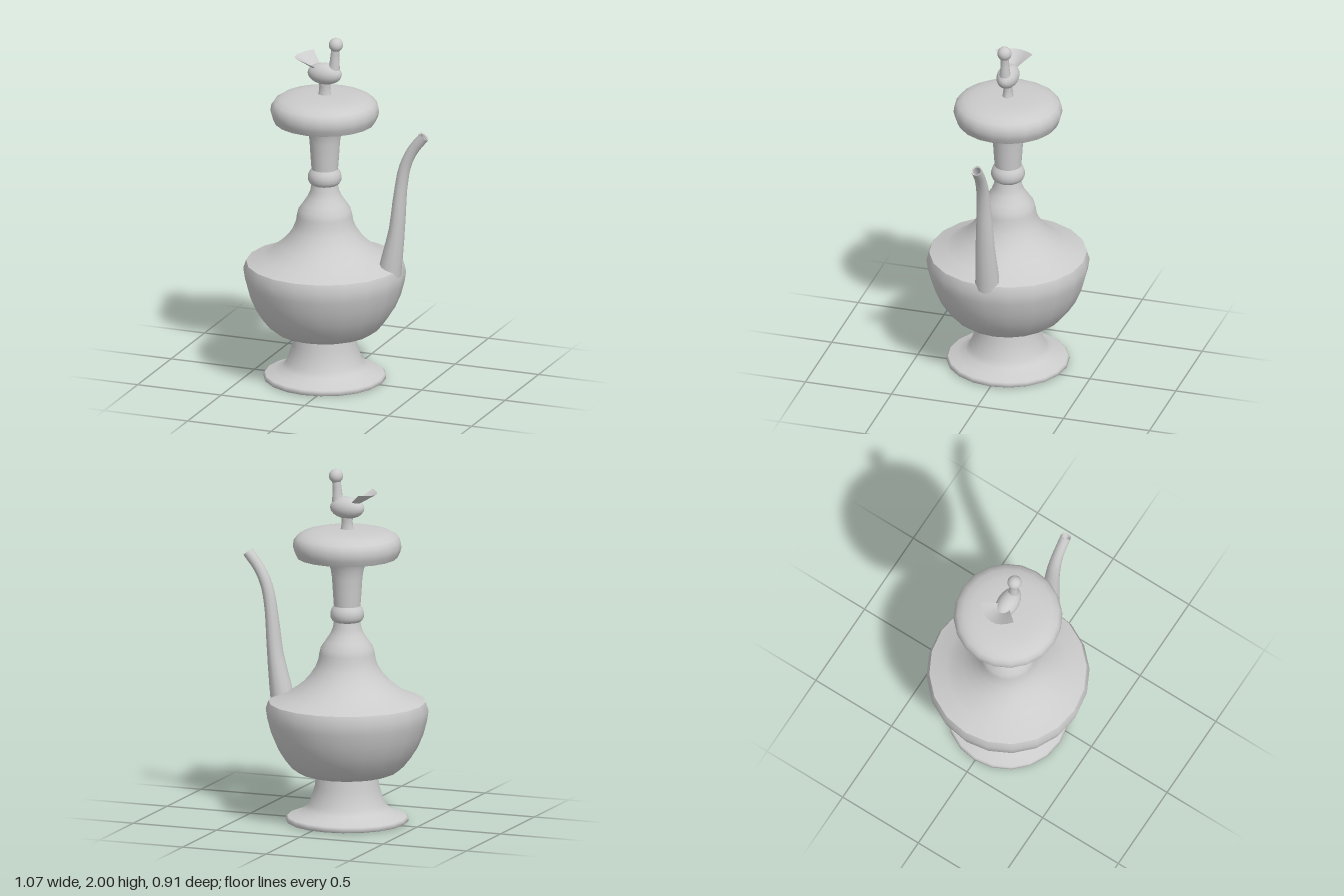
import * as THREE from 'three';

const AXIS = -0.08; // the vessel's axis sits off centre because of the spout
const SIDES = 20;
const material = new THREE.MeshStandardMaterial({ color: 0xcccccc, side: THREE.DoubleSide });

function addMesh(parent, name, geometry) {
  const mesh = new THREE.Mesh(geometry, material);
  mesh.name = name;
  parent.add(mesh);
  return mesh;
}

// Turned part; profile of [radius, y], with outside faces on the rising side
function turned(parent, name, profile) {
  const points = profile.map(([r, y]) => new THREE.Vector2(r, y));
  const mesh = addMesh(parent, name, new THREE.LatheGeometry(points, SIDES));
  mesh.position.x = AXIS;
  return mesh;
}

// Skin over rows of points, all rows the same length
function skin(rows, closed) {
  const n = rows[0].length;
  const index = [];
  for (let i = 0; i < rows.length - 1; i++) {
    for (let j = 0; j < (closed ? n : n - 1); j++) {
      const k = (j + 1) % n;
      const a = i * n + j, b = a + n, c = (i + 1) * n + k, d = i * n + k;
      index.push(a, b, c, a, c, d);
    }
  }
  const geometry = new THREE.BufferGeometry();
  geometry.setAttribute('position', new THREE.Float32BufferAttribute(rows.flat(2), 3));
  geometry.setIndex(index);
  geometry.computeVertexNormals();
  return geometry;
}

// Tapered tube in the xy plane; stations of [x, y, in-plane radius, z radius]
function taperedTube(stations, steps, sides) {
  const path = new THREE.CatmullRomCurve3(stations.map(([x, y]) => new THREE.Vector3(x, y, 0)));
  const rings = [];
  for (let i = 0; i <= steps; i++) {
    const t = i / steps;
    const s = t * (stations.length - 1);
    const k = Math.min(Math.floor(s), stations.length - 2);
    const mix = (c) => THREE.MathUtils.lerp(stations[k][c], stations[k + 1][c], s - k);
    const p = path.getPoint(t), d = path.getTangent(t);
    rings.push(Array.from({ length: sides }, (_, j) => {
      const a = (j / sides) * Math.PI * 2;
      const u = Math.cos(a) * mix(2);
      return [p.x + d.y * u, p.y - d.x * u, Math.sin(a) * mix(3)];
    }));
  }
  return skin(rings, true);
}

export function createModel() {
  const ewer = new THREE.Group();
  ewer.name = 'ewer';

  // Foot
  turned(ewer, 'footUnderside', [[0, 0.005], [0.33, 0.005]]);
  turned(ewer, 'footRim', [[0.33, 0.005], [0.341, 0.012], [0.341, 0.03], [0.333, 0.037]]);
  turned(ewer, 'foot', [[0.333, 0.037], [0.28, 0.055], [0.238, 0.078], [0.213, 0.108],
    [0.195, 0.16], [0.18, 0.21], [0.17, 0.285]]);

  // Body: bowl, shoulder and neck
  turned(ewer, 'bowlUnderside', [[0.15, 0.278], [0.24, 0.278]]);
  turned(ewer, 'bowl', [[0.24, 0.278], [0.275, 0.29], [0.315, 0.32], [0.355, 0.37], [0.393, 0.43],
    [0.425, 0.505], [0.445, 0.58], [0.454, 0.64], [0.438, 0.687]]);
  turned(ewer, 'shoulder', [[0.438, 0.687], [0.345, 0.722], [0.295, 0.755], [0.25, 0.79],
    [0.21, 0.832], [0.178, 0.88], [0.16, 0.925], [0.155, 0.96], [0.146, 0.995],
    [0.122, 1.03], [0.095, 1.07], [0.08, 1.105], [0.072, 1.15]]);
  turned(ewer, 'neckRing', [[0.07, 1.138], [0.083, 1.147], [0.093, 1.165], [0.094, 1.19],
    [0.087, 1.212], [0.074, 1.23]]);
  turned(ewer, 'neck', [[0.074, 1.225], [0.08, 1.31], [0.085, 1.39], [0.092, 1.435],
    [0.105, 1.475], [0.125, 1.508], [0.165, 1.545], [0.215, 1.575], [0.265, 1.595]]);

  // Lid: hollow underneath, with a flat rim
  turned(ewer, 'lidInside', [[0.262, 1.61], [0.262, 1.505]]);
  turned(ewer, 'lidRim', [[0.262, 1.505], [0.28, 1.505]]);
  turned(ewer, 'lid', [[0.28, 1.505], [0.295, 1.535], [0.303, 1.565], [0.298, 1.598], [0.282, 1.622],
    [0.25, 1.642], [0.2, 1.655], [0.14, 1.662], [0.06, 1.665], [0, 1.665]]);

  // Spout: the lower end is buried in the shoulder
  addMesh(ewer, 'spout', taperedTube([
    [0.299, 0.62, 0.07, 0.074], [0.322, 0.75, 0.06, 0.067], [0.352, 0.93, 0.043, 0.056],
    [0.375, 1.16, 0.035, 0.043], [0.401, 1.3, 0.033, 0.036], [0.447, 1.4, 0.031, 0.031],
    [0.516, 1.488, 0.03, 0.03]], 18, 12));
  // Bore of the spout mouth, running back down from the lip
  addMesh(ewer, 'spoutBore', taperedTube([
    [0.516, 1.488, 0.03, 0.03], [0.513, 1.484, 0.022, 0.022],
    [0.447, 1.4, 0.02, 0.02], [0.401, 1.3, 0.001, 0.001]], 9, 12));

  // Bird finial
  const bird = new THREE.Group();
  bird.name = 'birdFinial';
  ewer.add(bird);

  const stem = turned(bird, 'stem', [[0.04, 1.655], [0.034, 1.68], [0.031, 1.71], [0.036, 1.75]]);
  stem.scale.z = 0.8;

  const body = addMesh(bird, 'birdBody', new THREE.SphereGeometry(1, 20, 14));
  body.scale.set(0.1, 0.061, 0.06);
  body.position.set(AXIS, 1.785, 0);

  addMesh(bird, 'birdNeck', taperedTube([
    [-0.035, 1.78, 0.045, 0.04], [-0.023, 1.83, 0.031, 0.03],
    [-0.02, 1.89, 0.025, 0.024], [-0.013, 1.95, 0.024, 0.023]], 8, 12));

  const head = addMesh(bird, 'birdHead', new THREE.SphereGeometry(0.04, 16, 12));
  head.position.set(-0.013, 1.96, 0);

  // Cupped fan tail, lowest along its middle
  const tailRow = (x, bulge, y, dip, halfWidth) => Array.from({ length: 9 }, (_, j) => {
    const s = j / 4 - 1;
    const c = 1 - s * s;
    return [x - bulge * c, y - dip * c, s * halfWidth];
  });
  addMesh(bird, 'birdTail', skin([
    tailRow(-0.125, 0.01, 1.826, 0.024, 0.04),
    tailRow(-0.158, 0.035, 1.854, 0.018, 0.074),
    tailRow(-0.19, 0.062, 1.881, 0.01, 0.109)], false));

  return ewer;
}
